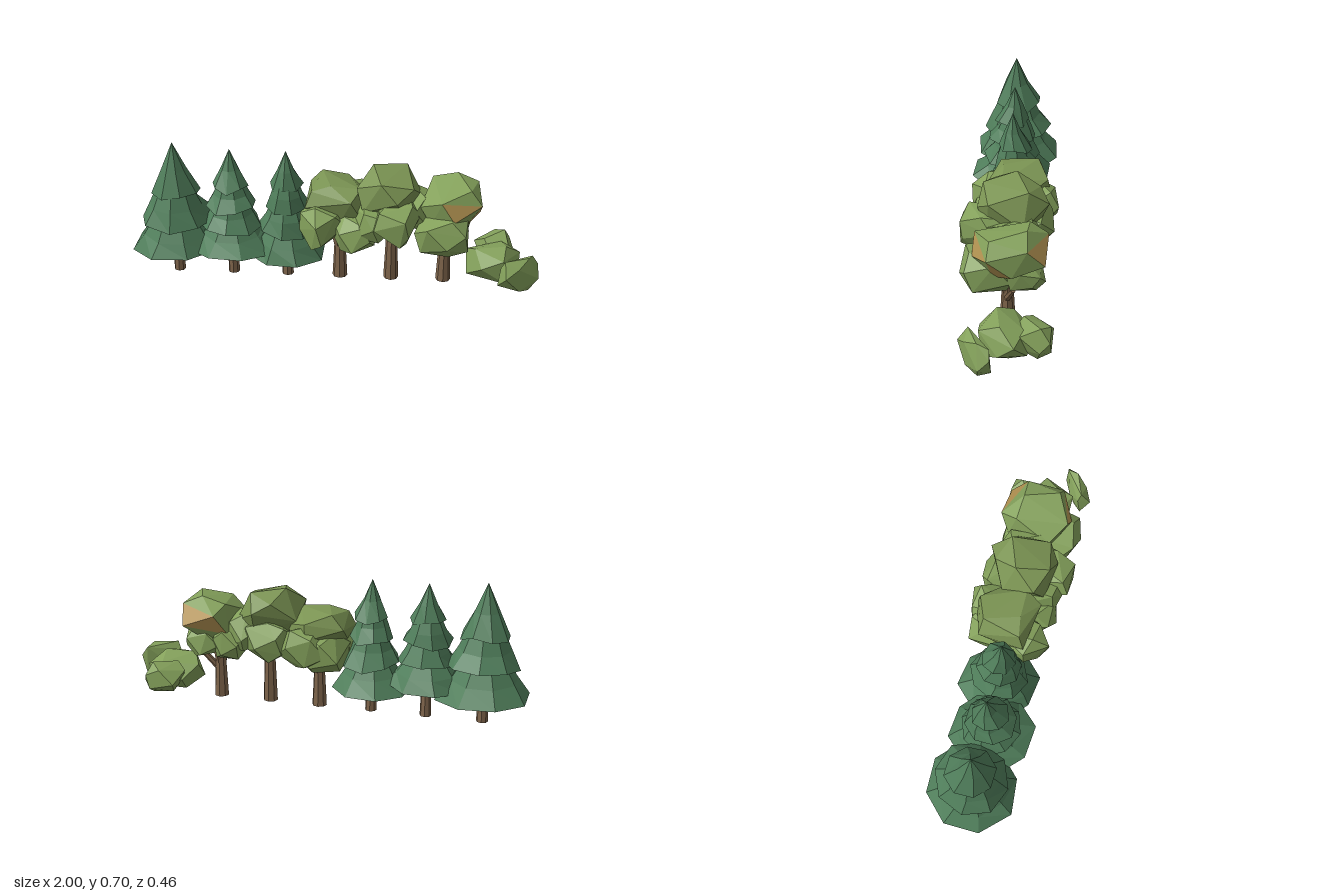
import * as THREE from 'three';
import { ConvexGeometry } from 'three/addons/geometries/ConvexGeometry.js';

const paint = (name, color) => {
  const m = new THREE.MeshStandardMaterial({ color, flatShading: true });
  m.name = name;
  return m;
};

// Small seeded random source
function seeded(seed) {
  let s = seed * 7919 + 17;
  return () => {
    s = (s * 16807) % 2147483647;
    return s / 2147483647;
  };
}

function add(parent, name, geometry, material) {
  const mesh = new THREE.Mesh(geometry, material);
  mesh.name = name;
  parent.add(mesh);
  return mesh;
}

// Tapered stick between two points
function stick(parent, name, a, b, r0, r1, material, sides = 7) {
  const from = new THREE.Vector3(...a), to = new THREE.Vector3(...b);
  const dir = to.clone().sub(from);
  const mesh = add(parent, name, new THREE.CylinderGeometry(r1, r0, dir.length(), sides), material);
  mesh.position.copy(from).add(to).multiplyScalar(0.5);
  mesh.quaternion.setFromUnitVectors(new THREE.Vector3(0, 1, 0), dir.normalize());
  return mesh;
}

// Blocky faceted leaf clump that fills the box [x0, x1, y0, y1, z0, z1]
function clumpGeometry([x0, x1, y0, y1, z0, z1], seed, count = 15) {
  const rnd = seeded(seed), pts = [], turn = rnd() * 6.28;
  const square = (v) => Math.sign(v) * Math.abs(v) ** 0.8;
  for (let i = 0; i < count; i++) {
    const y = 1 - (2 * (i + 0.5)) / count, a = i * 2.39996 + turn + (rnd() - 0.5) * 0.7;
    const r = Math.sqrt(1 - y * y), k = 0.9 + rnd() * 0.2;
    pts.push(new THREE.Vector3(square(r * Math.cos(a)) * k, square(y) * k, square(r * Math.sin(a)) * k));
  }
  const box = new THREE.Box3().setFromPoints(pts), size = box.getSize(new THREE.Vector3());
  pts.forEach((p) => p.sub(box.min).divide(size)
    .multiply(new THREE.Vector3(x1 - x0, y1 - y0, z1 - z0)).add(new THREE.Vector3(x0, y0, z0)));
  return new ConvexGeometry(pts);
}

// Turn the faces nearest the given directions into the second material
function tintFaces(geometry, directions) {
  const pos = geometry.attributes.position, n = geometry.attributes.normal;
  const picked = new Set();
  directions.forEach((d) => {
    const dir = new THREE.Vector3(...d).normalize();
    let best = -2, face = 0;
    for (let i = 0; i < pos.count; i += 3) {
      const dot = new THREE.Vector3().fromBufferAttribute(n, i).dot(dir);
      if (dot > best && !picked.has(i)) { best = dot; face = i; }
    }
    picked.add(face);
  });
  for (let i = 0; i < pos.count; i += 3) geometry.addGroup(i, 3, picked.has(i) ? 1 : 0);
}

// One skirt of a pine: ragged rim shifted in z, flared side, closed underside
function skirtGeometry([y0, r0, y1, r1], shift, seed, sides = 8) {
  const rnd = seeded(seed), turn = rnd() * 6.28;
  const rings = [[0, 0.005], [r0, 0], [r0 * 0.5 + r1 * 0.5, (y1 - y0) * 0.45], [r1, y1 - y0]];
  const geo = new THREE.LatheGeometry(rings.map(([r, y]) => new THREE.Vector2(r, y + y0)), sides, turn);
  const pos = geo.attributes.position, n = rings.length;
  const jitter = Array.from({ length: sides }, () => [0.95 + rnd() * 0.1, (rnd() - 0.5) * 0.035]);
  for (let i = 0; i < pos.count; i++) {
    if (i % n !== 1) continue;
    const [k, dy] = jitter[Math.floor(i / n) % sides];
    pos.setXYZ(i, pos.getX(i) * k, pos.getY(i) + dy, pos.getZ(i) * k + shift);
  }
  const flat = geo.toNonIndexed();
  flat.computeVertexNormals();
  return flat;
}

export function createModel() {
  const root = new THREE.Group();
  root.name = 'treeRow';
  const bark = paint('bark', 0x80664c);
  const pine = paint('pineGreen', 0x4f7d5a);
  const leaf = paint('leafGreen', 0x84a15b);
  const olive = paint('oliveGreen', 0x7b9453);
  const autumn = paint('autumnLeaf', 0xb39352);

  // Pines: skirts listed as [bottom, bottom radius, top, top radius]
  const pines = [
    { x: -0.787, shift: -0.012, skirts: [[0.145, 0.228, 0.32, 0.105], [0.29, 0.178, 0.48, 0.08], [0.445, 0.125, 0.7, 0]] },
    { x: -0.51, shift: 0.014, skirts: [[0.17, 0.21, 0.31, 0.09], [0.275, 0.148, 0.42, 0.07],
      [0.38, 0.124, 0.52, 0.055], [0.49, 0.09, 0.675, 0]] },
    { x: -0.237, shift: -0.016, skirts: [[0.13, 0.2, 0.29, 0.085], [0.26, 0.145, 0.42, 0.065],
      [0.38, 0.11, 0.53, 0.05], [0.49, 0.085, 0.675, 0]] },
  ];
  pines.forEach(({ x, shift, skirts }, t) => {
    const tree = new THREE.Group();
    tree.name = 'pine' + (t + 1);
    tree.position.set(x, 0, 0.003);
    stick(tree, 'pineTrunk', [0, 0, 0], [0, 0.22, 0], 0.029, 0.022, bark, 8);
    skirts.forEach((s, i) => add(tree, 'skirt' + (i + 1), skirtGeometry(s, shift, t * 10 + i + 3), pine));
    root.add(tree);
  });

  // Leafy trees: a trunk, forking branches and overlapping clumps of leaves
  const leafyTrees = [
    { x: 0.025, h: 0.2, clumps: [
      [[-0.14, 0.17, 0.34, 0.52, -0.19, 0.12], olive],
      [[-0.165, 0.06, 0.215, 0.43, -0.08, 0.2], leaf],
      [[-0.01, 0.21, 0.195, 0.38, -0.02, 0.2], leaf],
      [[-0.06, 0.19, 0.25, 0.46, -0.23, 0.0], leaf],
      [[-0.14, 0.09, 0.22, 0.42, -0.2, 0.02], leaf]] },
    { x: 0.28, h: 0.25, clumps: [
      [[0.11, 0.425, 0.37, 0.605, -0.185, 0.15], olive],
      [[0.09, 0.28, 0.27, 0.46, -0.07, 0.2], leaf],
      [[0.18, 0.42, 0.265, 0.47, -0.02, 0.23], leaf],
      [[0.28, 0.47, 0.28, 0.48, -0.17, 0.11], leaf],
      [[0.12, 0.37, 0.26, 0.46, -0.21, 0.0], leaf]] },
    { x: 0.54, h: 0.21, clumps: [
      [[0.415, 0.71, 0.32, 0.55, -0.185, 0.16], leaf, true],
      [[0.39, 0.65, 0.21, 0.42, -0.04, 0.22], leaf],
      [[0.5, 0.68, 0.235, 0.4, -0.175, 0.0], leaf],
      [[0.38, 0.56, 0.23, 0.42, -0.17, 0.05], leaf]] },
  ];
  leafyTrees.forEach(({ x, h, clumps }, t) => {
    const tree = new THREE.Group();
    tree.name = 'leafyTree' + (t + 1);
    stick(tree, 'trunk', [x, 0, 0], [x, h, 0], 0.037, 0.027, bark, 8);
    [[-0.05, 0.03], [0.04, 0.05], [0.02, -0.05], [0.0, 0.0]].forEach(([dx, dz], i) =>
      stick(tree, 'branch' + (i + 1), [x, h - 0.06, 0], [x + dx, h + 0.14, dz], 0.021, 0.011, bark, 6));
    clumps.forEach(([box, mat, mixed], i) => {
      const geo = clumpGeometry(box, t * 20 + i + 5);
      if (mixed) tintFaces(geo, [[0.8, 0.2, 0.7], [1, -0.7, 0.1], [0.8, 0.2, -0.9], [-0.2, -0.1, -1]]);
      add(tree, 'leafClump' + (i + 1), geo, mixed ? [mat, autumn] : mat);
    });
    root.add(tree);
  });

  // Bare side branch on the last leafy tree
  stick(root, 'sideBranch', [0.555, 0.15, 0], [0.65, 0.265, -0.03], 0.017, 0.011, bark, 6);

  // Bush made of three clumps; the front one is skewed into a diagonal lobe
  const bush = new THREE.Group();
  bush.name = 'bush';
  [[0.69, 0.89, 0.04, 0.205, -0.215, -0.03],
    [0.65, 0.915, 0.03, 0.21, -0.12, 0.12],
    [0.8, 1.0, 0.025, 0.205, 0.08, 0.18]].forEach((box, i) => {
    const geo = clumpGeometry(box, 80 + i, 14);
    if (i === 2) {
      geo.translate(-0.9, 0, 0);
      geo.applyMatrix4(new THREE.Matrix4().makeShear(0, -0.4, 0, 0, 0, 0).identity()
        .set(1, 0, 0, 0.9, 0, 1, 0, 0, -0.5, 0, 1, 0, 0, 0, 0, 1));
      geo.computeVertexNormals();
    }
    add(bush, 'bushClump' + (i + 1), geo, leaf);
  });
  root.add(bush);
  return root;
}
